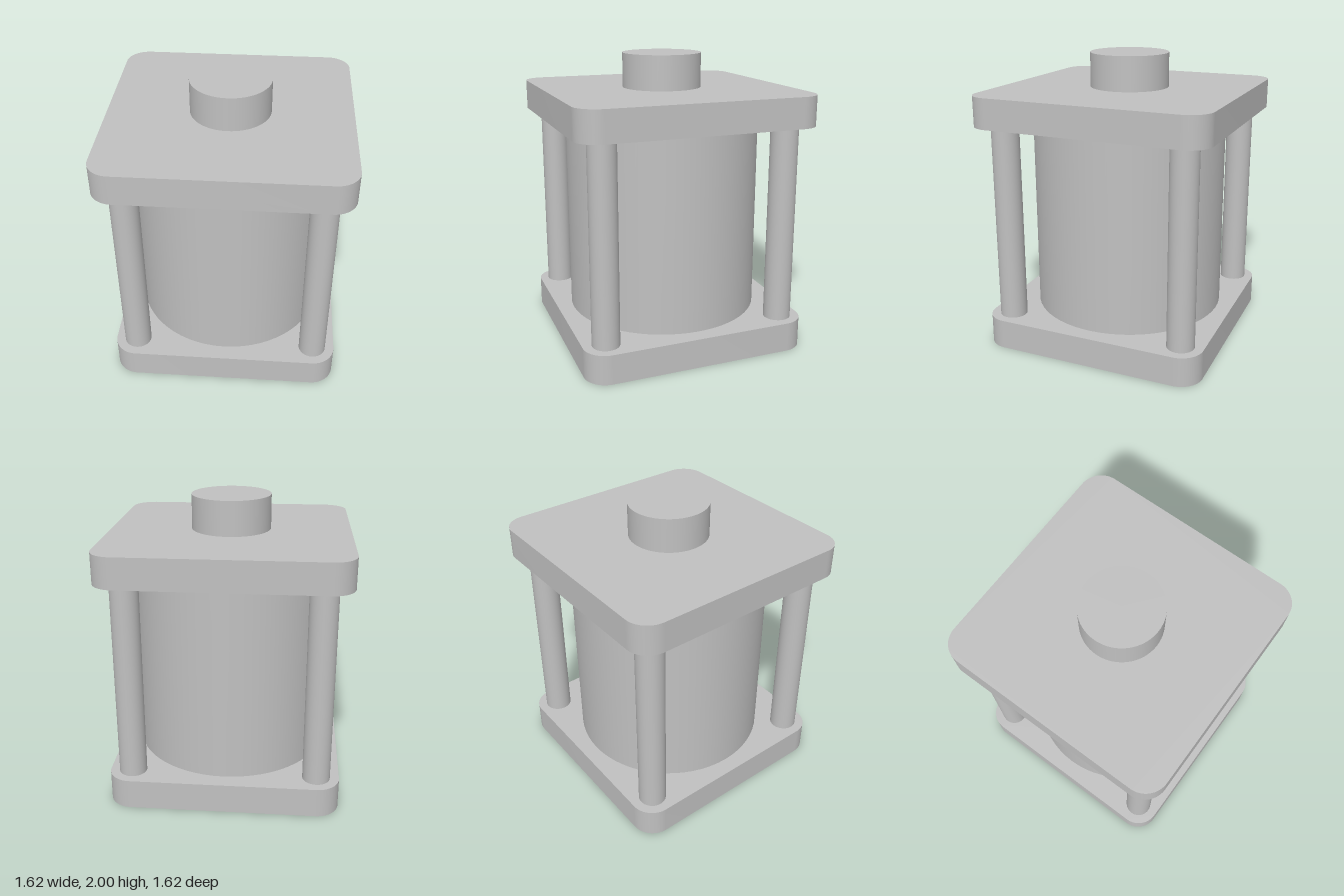
import * as THREE from 'three';
import { toCreasedNormals } from 'three/addons/utils/BufferGeometryUtils.js';

export function createModel() {
  const model = new THREE.Group();
  model.name = 'cylinderPress';
  const metal = new THREE.MeshStandardMaterial({ color: 0xc0c0c0 });
  metal.name = 'plain grey metal';

  const add = (name, geometry) => {
    const mesh = new THREE.Mesh(geometry, metal);
    mesh.name = name;
    model.add(mesh);
    return mesh;
  };

  // Upright cylinder between two heights
  const rod = (name, r, y0, y1, x = 0, z = 0) =>
    add(name, new THREE.CylinderGeometry(r, r, y1 - y0, 64)).position.set(x, (y0 + y1) / 2, z);

  // Square plate with rounded corners and an optional round bore
  const plate = (name, half, y0, y1, bore = 0) => {
    const r = 0.155, c = half - r;
    const shape = new THREE.Shape();
    [[c, c], [-c, c], [-c, -c], [c, -c]].forEach(([x, y], i) =>
      shape.absarc(x, y, r, i * Math.PI / 2, (i + 1) * Math.PI / 2, false));
    shape.closePath();
    if (bore) shape.holes.push(new THREE.Path().absarc(0, 0, bore, 0, Math.PI * 2, true));
    const g = new THREE.ExtrudeGeometry(shape, { depth: y1 - y0, bevelEnabled: false, curveSegments: 32 });
    g.rotateX(-Math.PI / 2);
    add(name, toCreasedNormals(g, 0.6)).position.y = y0;
  };

  // End plates; the lower one has a bore around the lower piston
  plate('basePlate', 0.78, 0, 0.205, 0.437);
  plate('topPlate', 0.812, 1.56, 1.765);

  // Main barrel, upper shaft and lower piston, flush with the underside
  rod('barrel', 0.67, 0.2, 1.565);
  rod('topShaft', 0.27, 1.76, 2);
  rod('lowerPiston', 0.385, 0, 0.21);

  // Four corner tie rods
  for (const x of [-0.625, 0.625])
    for (const z of [-0.625, 0.625]) rod('tieRod', 0.093, 0.2, 1.565, x, z);

  return model;
}
